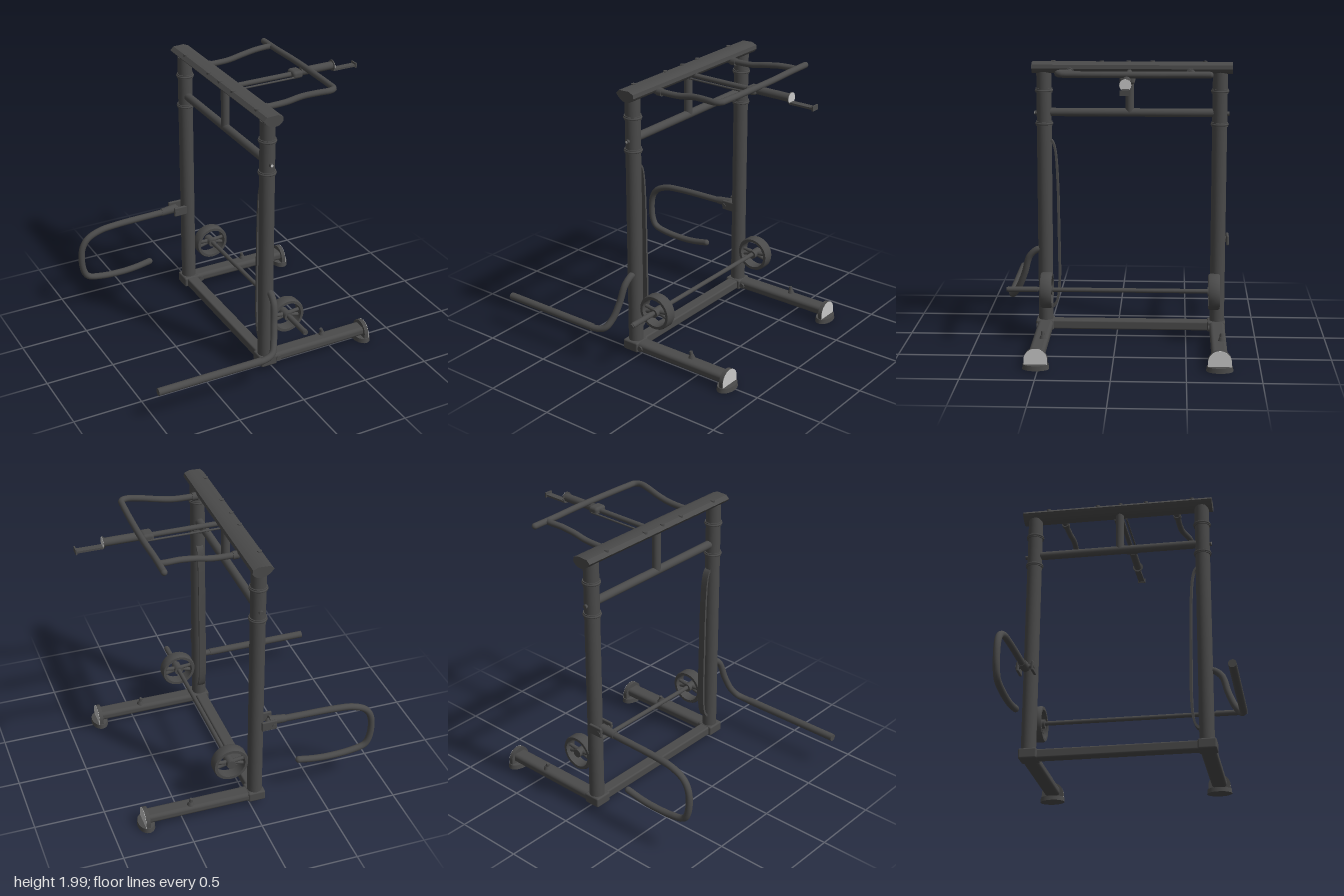
import * as THREE from 'three';
import { RoundedBoxGeometry } from 'three/addons/geometries/RoundedBoxGeometry.js';
import { toCreasedNormals } from 'three/addons/utils/BufferGeometryUtils.js';

const V = (p) => new THREE.Vector3(...p);

export function createModel() {
  const model = new THREE.Group();
  model.name = 'exerciseRack';
  const dark = new THREE.MeshStandardMaterial({ color: 0x4a4a4a });
  dark.name = 'darkSteel';
  const light = new THREE.MeshStandardMaterial({ color: 0xc8c8c8 });
  light.name = 'lightCap';

  const add = (name, geo, mat = dark, parent = model) => {
    const m = new THREE.Mesh(geo, mat);
    m.name = name;
    parent.add(m);
    return m;
  };
  // straight round bar between two points
  const bar = (name, a, b, r, r2 = r, mat = dark, parent = model) => {
    const d = V(b).sub(V(a));
    const m = add(name, new THREE.CylinderGeometry(r2, r, d.length(), 24), mat, parent);
    m.position.copy(V(a)).addScaledVector(d, 0.5);
    m.quaternion.setFromUnitVectors(new THREE.Vector3(0, 1, 0), d.normalize());
    return m;
  };
  // box given by its minimum and maximum corners
  const box = (name, a, b, round = 0, mat = dark, parent = model) => {
    const s = V(b).sub(V(a));
    const g = round ? new RoundedBoxGeometry(s.x, s.y, s.z, 3, round) : new THREE.BoxGeometry(s.x, s.y, s.z);
    const m = add(name, g, mat, parent);
    m.position.copy(V(a).add(V(b)).multiplyScalar(0.5));
    return m;
  };
  // bent tube with round ends
  const bent = (name, pts, r) => {
    const curve = new THREE.CatmullRomCurve3(pts.map(V), false, 'centripetal');
    add(name, new THREE.TubeGeometry(curve, 72, r, 14), dark);
    for (const p of [pts[0], pts[pts.length - 1]])
      add(name + 'End', new THREE.SphereGeometry(r, 14, 10)).position.copy(V(p));
  };

  // posts, legs and feet, one set for each side
  for (const [side, z] of [['front', 0.515], ['rear', -0.725]]) {
    const g = new THREE.Group();
    g.name = side + 'Upright';
    g.position.z = z;
    model.add(g);

    bar('post', [-0.042, 0.05, 0], [-0.042, 1.93, 0], 0.053, 0.053, dark, g);
    for (const y of [1.785, 1.55]) {
      bar('collar', [-0.042, y - 0.015, 0], [-0.042, y + 0.015, 0], 0.06, 0.06, dark, g);
      const ring = add('collarRing', new THREE.TorusGeometry(0.056, 0.009, 8, 28), dark, g);
      ring.rotation.x = Math.PI / 2;
      ring.position.set(-0.042, y, 0);
    }
    bar('crossBolt', [-0.042, 1.625, -0.068], [-0.042, 1.625, 0.068], 0.015, 0.015, dark, g);
    bar('boltFace', [-0.042, 1.625, 0.068], [-0.042, 1.625, 0.07], 0.01, 0.01, light, g);

    box('baseBlock', [-0.105, 0.04, -0.06], [0.02, 0.115, 0.07], 0.012, dark, g);
    box('leg', [-0.08, 0.045, -0.055], [0.77, 0.112, 0.055], 0.025, dark, g);
    bar('legPegBase', [0.44, 0.1, -0.02], [0.44, 0.135, -0.02], 0.028, 0.016, dark, g);
    bar('legPeg', [0.44, 0.12, -0.02], [0.432, 0.16, -0.02], 0.014, 0.012, dark, g);
    bar('legBolt', [0.04, 0.075, 0.05], [0.04, 0.075, 0.064], 0.02, 0.02, dark, g);

    // foot pad and half-round end plate with a light outer face
    const pad = bar('footPad', [0.76, 0, 0], [0.76, 0.034, 0], 0.092, 0.088, dark, g);
    pad.scale.x = 0.66;
    const half = new THREE.Shape();
    half.moveTo(-0.08, 0.03);
    half.lineTo(0.08, 0.03);
    half.lineTo(0.08, 0.065);
    half.absarc(0, 0.065, 0.08, 0, Math.PI, false);
    half.closePath();
    const plate = (name, x, depth, mat) => {
      const m = add(name, new THREE.ExtrudeGeometry(half, { depth, bevelEnabled: false, curveSegments: 20 }), mat, g);
      m.rotation.y = Math.PI / 2;
      m.position.x = x;
    };
    plate('endPlate', 0.748, 0.03, dark);
    plate('endPlateFace', 0.778, 0.002, light);
  }

  // bars joining the posts
  box('baseCrossbar', [-0.085, 0.043, -0.7], [0.0, 0.11, 0.5], 0.012);
  bar('upperCrossbar', [-0.042, 1.63, -0.72], [-0.042, 1.63, 0.51], 0.03);
  bar('centreStrut', [-0.042, 1.63, -0.09], [-0.042, 1.93, -0.09], 0.03);

  // top beam with a rounded underside
  const section = new THREE.Shape();
  section.moveTo(-0.115, 1.96);
  section.quadraticCurveTo(-0.075, 1.908, -0.035, 1.908);
  section.quadraticCurveTo(0.015, 1.908, 0.032, 1.945);
  section.lineTo(0.028, 1.972);
  section.lineTo(-0.01, 1.988);
  section.lineTo(-0.09, 1.985);
  section.closePath();
  const beam = new THREE.ExtrudeGeometry(section, { depth: 1.405, bevelEnabled: false, curveSegments: 10 });
  add('topBeam', toCreasedNormals(beam, 0.5)).position.z = -0.81;
  for (const z of [-0.62, -0.25, -0.08, 0.11, 0.45])
    bar('beamBolt', [-0.085, 1.975, z], [-0.085, 1.991, z], 0.016);

  // overhead grip frame
  const gripArm = (z, bend) => bent('gripArm', [
    [0, 1.925, z], [0.2, 1.93, z], [0.31, 1.95, z + bend * 0.02],
    [0.42, 1.965, z + bend * 0.45], [0.52, 1.968, z + bend], [0.56, 1.968, z + bend * 0.7]], 0.021);
  gripArm(-0.515, -0.015);
  bent('gripBar', [[0, 1.925, 0.325], [0.2, 1.93, 0.325], [0.32, 1.95, 0.33], [0.43, 1.963, 0.355],
    [0.52, 1.968, 0.37], [0.557, 1.968, 0.35], [0.565, 1.968, 0.28], [0.572, 1.968, -0.2],
    [0.562, 1.968, -0.45], [0.56, 1.968, -0.64]], 0.022);
  for (const z of [-0.515, 0.325]) bar('gripSocket', [0.02, 1.925, z], [0.06, 1.925, z], 0.028);

  // centre arm with guide rods and a stepped tip
  bar('armRod', [0, 1.925, -0.09], [0.6, 1.925, -0.09], 0.018);
  for (const z of [-0.135, -0.05]) bar('guideRod', [0, 1.912, z], [0.52, 1.912, z], 0.007);
  box('armBoss', [0.47, 1.9, -0.14], [0.55, 1.955, -0.04], 0.02);
  bar('armTube', [0.55, 1.93, -0.09], [0.81, 1.93, -0.09], 0.029);
  bar('armFlange', [0.805, 1.93, -0.09], [0.813, 1.93, -0.09], 0.04);
  bar('flangeFace', [0.813, 1.93, -0.09], [0.815, 1.93, -0.09], 0.039, 0.039, light);
  box('armTip', [0.81, 1.892, -0.113], [0.995, 1.906, -0.067]);
  box('tipStop', [0.99, 1.885, -0.12], [1.0, 1.92, -0.06]);

  // axle and its two spoked wheels
  bar('axle', [0.135, 0.378, -0.72], [0.135, 0.378, 0.78], 0.016);
  bar('axleSleeve', [0.135, 0.378, 0.56], [0.135, 0.378, 0.77], 0.02);
  const rim = [[0.102, -0.04], [0.122, -0.04], [0.128, -0.028], [0.128, 0.028], [0.122, 0.04], [0.102, 0.04], [0.102, -0.04]];
  for (const z of [0.493, -0.697]) {
    const wheel = new THREE.Group();
    wheel.name = 'wheel';
    wheel.position.set(0.135, 0.375, z);
    model.add(wheel);
    const lathe = new THREE.LatheGeometry(rim.map((p) => new THREE.Vector2(...p)), 48);
    add('wheelRim', toCreasedNormals(lathe, 0.6), dark, wheel).rotation.x = Math.PI / 2;
    bar('wheelHub', [0, 0, -0.04], [0, 0, 0.045], 0.032, 0.032, dark, wheel);
    for (const a of [0.12, Math.PI - 0.12, Math.PI + 0.3, -0.3]) {
      const end = [Math.cos(a) * 0.11, Math.sin(a) * 0.11];
      bar('spoke', [0, 0, 0], [...end, 0], 0.017, 0.012, dark, wheel);
    }
  }

  // low side handle sweeping down from the front post
  bent('sideHandleBend', [[-0.035, 0.635, 0.52], [-0.033, 0.63, 0.575], [-0.04, 0.58, 0.63], [-0.06, 0.45, 0.67],
    [-0.085, 0.34, 0.715], [-0.12, 0.275, 0.76], [-0.19, 0.256, 0.78], [-0.28, 0.256, 0.78]], 0.024);
  bar('sideHandleGrip', [-0.998, 0.256, 0.78], [-0.22, 0.256, 0.78], 0.027);

  // looped handle and clamp on the rear post
  bent('loopHandle', [[-0.13, 0.7, -0.745], [-0.25, 0.695, -0.745], [-0.62, 0.685, -0.745], [-0.76, 0.668, -0.745],
    [-0.86, 0.62, -0.745], [-0.905, 0.54, -0.745], [-0.905, 0.38, -0.745], [-0.87, 0.31, -0.745],
    [-0.77, 0.282, -0.745], [-0.6, 0.272, -0.745], [-0.48, 0.28, -0.745], [-0.365, 0.3, -0.745]], 0.024);
  bar('loopSleeve', [-0.25, 0.696, -0.745], [-0.13, 0.705, -0.745], 0.028, 0.034);
  for (const z of [-0.795, -0.69]) box('clampCheek', [-0.17, 0.665, z - 0.01], [-0.06, 0.738, z + 0.01], 0.008);
  bar('clampPin', [-0.15, 0.7, -0.81], [-0.15, 0.7, -0.675], 0.014);

  // bowed strap along the inside of the front post
  const strap = new THREE.Shape();
  strap.moveTo(0.47, 1.44);
  strap.bezierCurveTo(0.42, 1.42, 0.42, 1.25, 0.412, 1.05);
  strap.lineTo(0.405, 0.5);
  strap.bezierCurveTo(0.405, 0.3, 0.42, 0.21, 0.47, 0.195);
  strap.lineTo(0.47, 0.215);
  strap.bezierCurveTo(0.435, 0.23, 0.422, 0.3, 0.422, 0.5);
  strap.lineTo(0.428, 1.05);
  strap.bezierCurveTo(0.435, 1.25, 0.435, 1.4, 0.47, 1.42);
  strap.closePath();
  const strapGeo = new THREE.ExtrudeGeometry(strap, { depth: 0.05, bevelEnabled: false, curveSegments: 12 });
  const strapMesh = add('postStrap', toCreasedNormals(strapGeo, 0.6));
  strapMesh.rotation.y = -Math.PI / 2;
  strapMesh.position.x = -0.015;
  return model;
}
